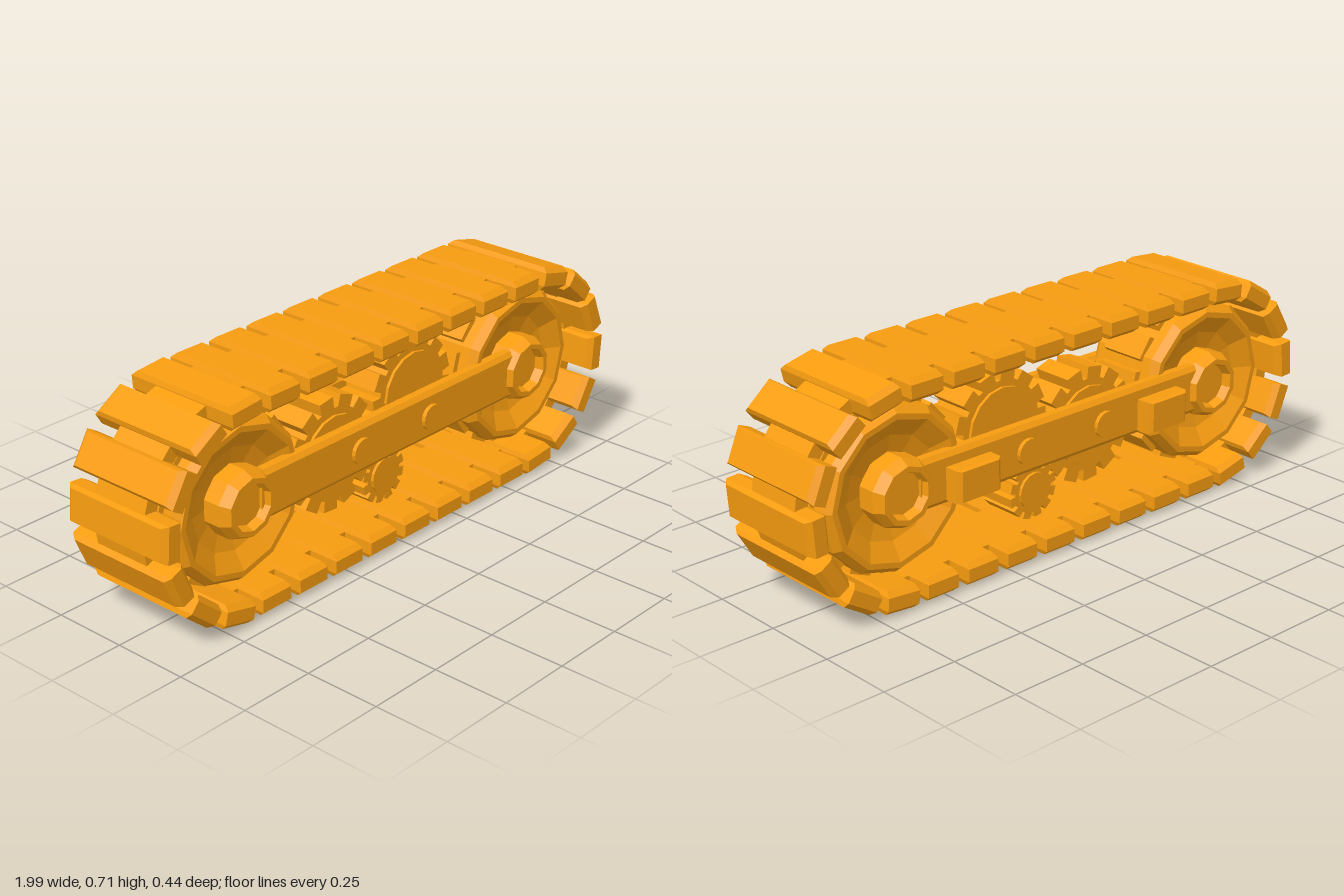
import * as THREE from 'three';
import { ConvexGeometry } from 'three/addons/geometries/ConvexGeometry.js';

const MAT = new THREE.MeshStandardMaterial({ color: 0xf79c10, flatShading: true });
const MID_Y = 0.368, HALF = 0.64, R = 0.317;
const STRAIGHT = 2 * HALF, ARC = Math.PI * R, TOTAL = 2 * (STRAIGHT + ARC);

function add(parent, name, geometry, x = 0, y = 0, z = 0) {
  const mesh = new THREE.Mesh(geometry, MAT);
  mesh.name = name;
  mesh.position.set(x, y, z);
  parent.add(mesh);
  return mesh;
}

// Symmetric solid turned round the z axis: give [radius, z] from rim to axis
function turned(front, sides) {
  const back = front.map(([r, z]) => [r, -z]).reverse();
  const points = [...back, ...front].map(([r, z]) => new THREE.Vector2(r, z));
  return new THREE.LatheGeometry(points, sides).rotateX(Math.PI / 2);
}

// Toothed wheel centred on z = 0
function toothed(teeth, root, tip, depth, phase = 0) {
  const shape = new THREE.Shape();
  const step = (2 * Math.PI) / teeth;
  for (let i = 0; i < teeth; i++) {
    [[0, root], [0.06, tip], [0.7, tip], [0.76, root]].forEach(([f, r], k) => {
      const a = (i + f) * step + phase;
      shape[i + k === 0 ? 'moveTo' : 'lineTo'](r * Math.cos(a), r * Math.sin(a));
    });
  }
  shape.closePath();
  return new THREE.ExtrudeGeometry(shape, { depth, bevelEnabled: false }).translate(0, 0, -depth / 2);
}

// Block bevelled towards both of its y faces
function bevelledBlock(hx, hy, hz, bx, by, bz) {
  const points = [];
  for (const x of [-1, 1]) for (const y of [-1, 1]) for (const z of [-1, 1]) {
    points.push(new THREE.Vector3(x * hx, y * (hy - by), z * hz));
    points.push(new THREE.Vector3(x * (hx - bx), y * hy, z * (hz - bz)));
  }
  return new ConvexGeometry(points);
}

// Position and heading on the track loop, clockwise from top left
function onTrack(distance) {
  let s = ((distance % TOTAL) + TOTAL) % TOTAL;
  const lower = s >= STRAIGHT + ARC;
  if (lower) s -= STRAIGHT + ARC;
  const side = lower ? -1 : 1;
  const turn = Math.max(0, s - STRAIGHT) / R;
  const x = -HALF + Math.min(s, STRAIGHT) + R * Math.sin(turn);
  const y = R * Math.cos(turn);
  return { x: side * x, y: MID_Y + side * y, angle: -turn - (lower ? Math.PI : 0) };
}

function buildTrack() {
  const track = new THREE.Group();
  track.name = 'track';
  // Eight pads per straight run, seven round each end
  const stops = [];
  const runs = [[0.122, 1.207], [STRAIGHT + ARC + 0.12, STRAIGHT + ARC + 1.205]];
  runs.forEach(([start, end], k) => {
    const next = k === 0 ? runs[1][0] : runs[0][0] + TOTAL;
    for (let i = 0; i < 8; i++) stops.push(start + ((end - start) * i) / 7);
    for (let i = 1; i < 8; i++) stops.push(end + ((next - end) * i) / 8);
  });
  const pad = bevelledBlock(0.058, 0.037, 0.202, 0.007, 0.016, 0.019);
  const joint = new THREE.BoxGeometry(0.07, 0.044, 0.2);
  stops.forEach((s, i) => {
    const after = i + 1 < stops.length ? stops[i + 1] : stops[0] + TOTAL;
    const p = onTrack(s), q = onTrack((s + after) / 2);
    // The loop runs slightly askew along its length
    add(track, 'trackPad', pad, p.x, p.y, 0.008 + 0.01 * p.x).rotation.z = p.angle;
    add(track, 'trackJoint', joint, q.x, q.y, 0).rotation.z = q.angle;
  });
  return track;
}

function buildWheel(x) {
  const wheel = new THREE.Group();
  wheel.name = 'roadWheel';
  wheel.position.set(x, 0.373, 0);
  // Dished disc, raised hub and recessed hub cap
  add(wheel, 'wheelDisc', turned([
    [0.26, 0.115], [0.24, 0.14], [0.222, 0.14], [0.165, 0.105], [0.1, 0.09], [0, 0.09],
  ], 12));
  add(wheel, 'hub', turned([
    [0.11, 0.15], [0.092, 0.184], [0.075, 0.184], [0.066, 0.155], [0, 0.155],
  ], 10));
  add(wheel, 'sprocketTeeth', toothed(14, 0.25, 0.273, 0.16));
  return wheel;
}

function buildGear(name, x, y, teeth, root, tip, boss) {
  const gear = new THREE.Group();
  gear.name = name;
  gear.position.set(x, y, 0);
  add(gear, 'gearTeeth', toothed(teeth, root, tip, 0.14, 0.1));
  add(gear, 'gearBoss', turned([[boss, 0.08], [0, 0.08]], 16));
  return gear;
}

export function createModel() {
  const model = new THREE.Group();
  model.name = 'trackUnit';
  model.add(buildTrack());
  for (const x of [-0.635, 0.64]) model.add(buildWheel(x));

  // Drive gears
  model.add(buildGear('leftGear', 0.185, 0.425, 13, 0.15, 0.182, 0.13));
  model.add(buildGear('rightGear', -0.175, 0.335, 13, 0.152, 0.19, 0.13));
  model.add(buildGear('pinion', 0.055, 0.18, 12, 0.074, 0.095, 0.06));

  // Side beams with bevelled long edges
  const beam = bevelledBlock(0.58, 0.025, 0.08, 0, 0.012, 0.015).rotateX(Math.PI / 2);
  for (const side of [1, -1]) add(model, 'sideBeam', beam, 0, 0.375, side * 0.14);

  // Cross pins joining the beams
  const pin = turned([[0.043, 0.178], [0, 0.178]], 16);
  for (const x of [-0.155, 0.165]) add(model, 'crossPin', pin, x, 0.37, 0);

  // Mounting blocks on the back beam
  const mount = bevelledBlock(0.085, 0.035, 0.052, 0.015, 0.012, 0.004).rotateX(Math.PI / 2);
  for (const x of [-0.385, 0.4]) add(model, 'mountBlock', mount, x, 0.36, -0.186);
  return model;
}
